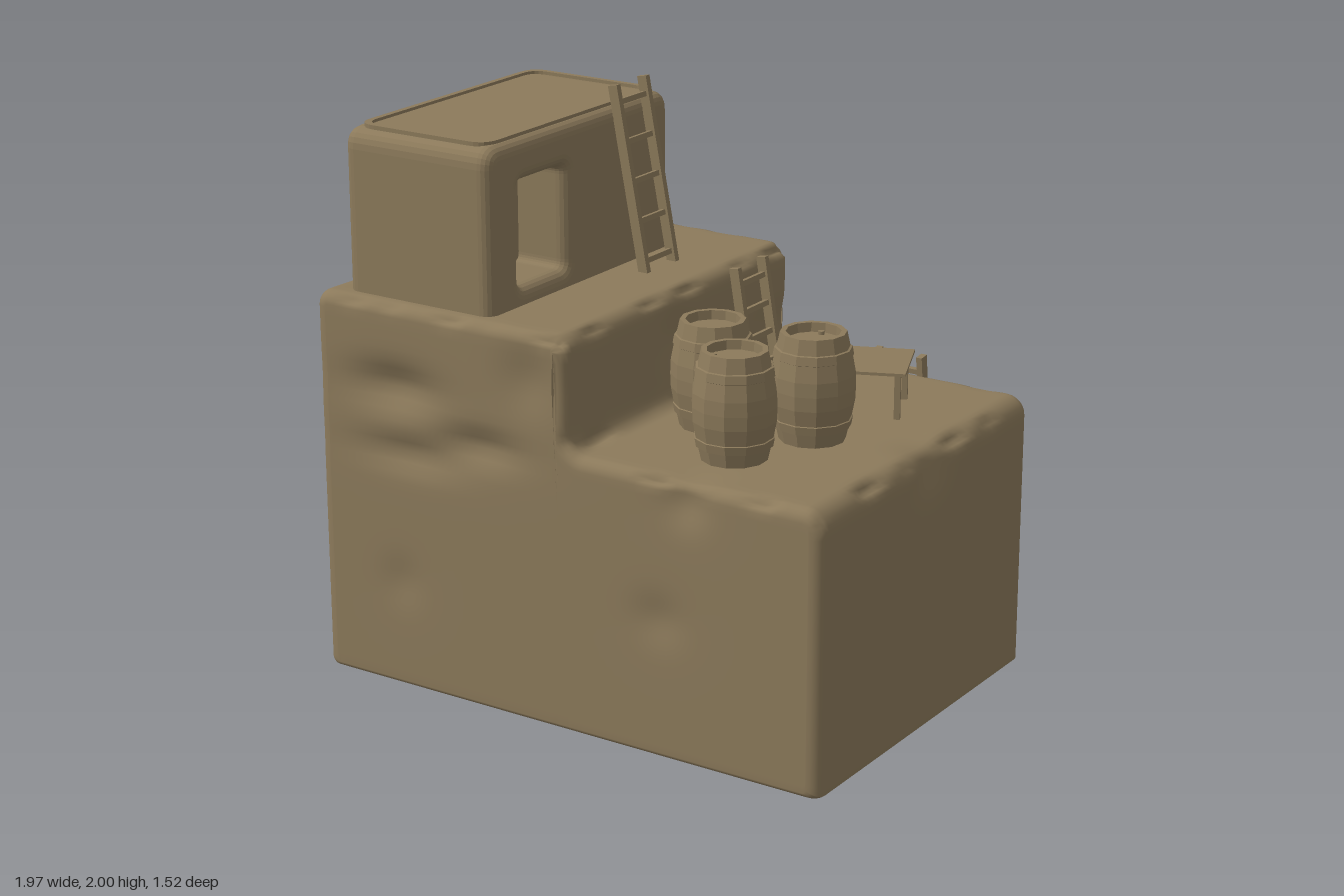
import * as THREE from 'three';
import { mergeVertices } from 'three/addons/utils/BufferGeometryUtils.js';

const clay = new THREE.MeshStandardMaterial({ color: 0x8c7a5b });
clay.name = 'clayBrown';

function add(parent, name, geometry, x = 0, y = 0, z = 0) {
  const mesh = new THREE.Mesh(geometry, clay);
  mesh.name = name;
  mesh.position.set(x, y, z);
  parent.add(mesh);
  return mesh;
}
const box = (w, h, d) => new THREE.BoxGeometry(w, h, d);

// Stepped outline of the rock, left to right, with outward normals
function stepOutline() {
  const pts = [];
  const arc = (cx, cy, r, a0, a1, sign = 1, n = 6) => {
    for (let i = 0; i <= n; i++) {
      const a = a0 + (a1 - a0) * i / n, c = Math.cos(a), s = Math.sin(a);
      pts.push({ x: cx + r * c, y: cy + r * s, nx: sign * c, ny: sign * s });
    }
  };
  const line = (x0, y0, x1, y1, nx, ny, n) => {
    for (let i = 1; i < n; i++) {
      pts.push({ x: x0 + (x1 - x0) * i / n, y: y0 + (y1 - y0) * i / n, nx, ny });
    }
  };
  const P = Math.PI, r = 0.055;
  arc(-0.985 + r, 1.37 - r, r, P, P / 2);
  line(-0.93, 1.37, -0.025, 1.37, 0, 1, 30);
  arc(0.03 - r, 1.37 - r, r, P / 2, 0);
  line(0.03, 1.315, 0.03, 1.045, 1, 0, 8);
  arc(0.09, 1.045, 0.06, P, 1.5 * P, -1);
  line(0.09, 0.985, 0.91, 0.985, 0, 1, 28);
  arc(0.91, 0.915, 0.07, P / 2, 0);
  return pts;
}

// Layers from back to front: depth and inset of the rounded edge
function depthLayers(z0, z1, b) {
  const layers = [], n = 5, mid = 36;
  const round = i => {
    const a = Math.PI / 2 * i / n;
    return [b - b * Math.sin(a), b - b * Math.cos(a)];
  };
  for (let i = n; i >= 0; i--) { const [o, d] = round(i); layers.push([z0 + o, d]); }
  for (let i = 1; i < mid; i++) layers.push([z0 + b + (z1 - z0 - 2 * b) * i / mid, 0]);
  for (let i = 0; i <= n; i++) { const [o, d] = round(i); layers.push([z1 - o, d]); }
  return layers;
}

// Hollows worn into the rock: centre, radii, depth
const dents = [
  [-0.66, 1.08, 0.75, 0.17, 0.07, 0.2, 0.045], [-0.32, 0.94, 0.75, 0.16, 0.05, 0.2, 0.035],
  [-0.6, 0.86, 0.75, 0.2, 0.05, 0.2, 0.03], [-0.12, 1.2, 0.75, 0.1, 0.1, 0.2, 0.02],
  [0.38, 0.5, 0.75, 0.09, 0.08, 0.2, 0.015], [-0.65, 0.4, 0.75, 0.08, 0.08, 0.2, 0.012],
  [0.48, 0.92, 0.75, 0.08, 0.08, 0.1, 0.025],
  [-0.3, 1.1, -0.6, 0.28, 0.06, 0.2, 0.05], [-0.4, 0.94, -0.6, 0.28, 0.05, 0.2, 0.05],
  [-0.3, 0.78, -0.6, 0.25, 0.05, 0.2, 0.035], [-0.62, 1.17, -0.6, 0.12, 0.06, 0.2, 0.03],
  [-0.98, 1.12, -0.2, 0.2, 0.07, 0.13, 0.03], [-0.98, 0.98, 0.15, 0.2, 0.08, 0.11, 0.03],
  [-0.98, 1.14, 0.35, 0.2, 0.07, 0.1, 0.025], [-0.98, 0.86, -0.15, 0.2, 0.07, 0.12, 0.025],
  [0.03, 1.2, 0.1, 0.12, 0.1, 0.1, 0.015], [0.98, 0.94, 0.05, 0.1, 0.08, 0.09, 0.03],
];

function rockGeometry() {
  const top = stepOutline(), layers = depthLayers(-0.6, 0.755, 0.045);
  const ni = top.length - 1, nj = 36, nk = layers.length - 1;
  let g = new THREE.BoxGeometry(1, 1, 1, ni, nj, nk);
  const p = g.attributes.position;
  for (let q = 0; q < p.count; q++) {
    const t = top[Math.round((p.getX(q) + 0.5) * ni)];
    const v = Math.round((p.getY(q) + 0.5) * nj) / nj;
    const [z, d] = layers[Math.round((p.getZ(q) + 0.5) * nk)];
    const edge = Math.max(0, Math.abs(t.x) - 0.945) / 0.04;
    const bx = t.x - (Math.abs(t.x) > 0.9 ? d * t.nx : 0);
    const by = 0.02 + 0.025 * (1 - Math.sqrt(Math.max(0, 1 - edge * edge))) + d * 0.5;
    p.setXYZ(q, bx + (t.x - d * t.nx - bx) * v, by + (t.y - d * t.ny - by) * v, z);
  }
  g.deleteAttribute('uv');
  g.deleteAttribute('normal');
  g = mergeVertices(g, 1e-5);
  g.computeVertexNormals();
  // Press in the hollows and chip the upper edges
  const m = g.attributes.position, nrm = g.attributes.normal;
  for (let q = 0; q < m.count; q++) {
    const x = m.getX(q), y = m.getY(q), z = m.getZ(q);
    const nx = nrm.getX(q), ny = nrm.getY(q), nz = nrm.getZ(q);
    let push = 0;
    for (const [cx, cy, cz, rx, ry, rz, depth] of dents) {
      push += depth * Math.exp(-(((x - cx) / rx) ** 2) - ((y - cy) / ry) ** 2 - ((z - cz) / rz) ** 2);
    }
    if (ny > 0.1 && y > 0.85) {
      const corner = 1 - Math.max(Math.abs(nx), ny, Math.abs(nz));
      const wave = Math.sin(x * 17 + z * 11) + Math.sin(x * 31 - z * 23 + 1);
      push += 0.06 * corner * Math.max(0, wave);
    }
    m.setXYZ(q, x - nx * push, y - ny * push, z - nz * push);
  }
  g.computeVertexNormals();
  return g;
}

function roundedRect(path, x0, y0, x1, y1, r) {
  path.moveTo(x0 + r, y0);
  path.lineTo(x1 - r, y0);
  path.quadraticCurveTo(x1, y0, x1, y0 + r);
  path.lineTo(x1, y1 - r);
  path.quadraticCurveTo(x1, y1, x1 - r, y1);
  path.lineTo(x0 + r, y1);
  path.quadraticCurveTo(x0, y1, x0, y1 - r);
  path.lineTo(x0, y0 + r);
  path.quadraticCurveTo(x0, y0, x0 + r, y0);
  return path;
}

// Hut with a recessed doorway on its left side
function makeHut() {
  const hut = new THREE.Group();
  hut.name = 'hut';
  const b = 0.045;
  const wall = roundedRect(new THREE.Shape(), -0.7, 1.28, 0.335, 1.922, 0.07);
  wall.holes.push(roundedRect(new THREE.Path(), -0.53, 1.43, -0.275, 1.78, 0.03));
  const g = new THREE.ExtrudeGeometry(wall, {
    depth: 0.59 - 2 * b, bevelEnabled: true, bevelThickness: b, bevelSize: b,
    bevelOffset: -b, bevelSegments: 5, curveSegments: 6,
  });
  g.translate(0, 0, b);
  g.rotateY(Math.PI / 2);
  add(hut, 'hutWalls', g, -0.885);
  add(hut, 'doorwayBack', box(0.39, 0.46, 0.37), -0.69, 1.605, 0.4025);
  // Low raised rim around the roof
  const rim = roundedRect(new THREE.Shape(), -0.85, -0.665, -0.33, 0.3, 0.07);
  rim.holes.push(roundedRect(new THREE.Path(), -0.83, -0.645, -0.35, 0.28, 0.06));
  const rg = new THREE.ExtrudeGeometry(rim, { depth: 0.014, bevelEnabled: false, curveSegments: 6 });
  rg.rotateX(-Math.PI / 2);
  add(hut, 'roofRim', rg, 0, 1.918, 0);
  return hut;
}

// Ladder rising from its foot and leaning toward local -x
function makeLadder(name, x, y, z, height, lean, turn, rungs) {
  const ladder = new THREE.Group(), frame = new THREE.Group();
  ladder.name = name;
  ladder.position.set(x, y, z);
  ladder.rotation.y = turn;
  frame.name = name + 'Frame';
  frame.rotation.z = Math.atan2(lean, height);
  ladder.add(frame);
  const len = Math.hypot(height, lean);
  for (const s of [-1, 1]) add(frame, 'ladderRail', box(0.036, len, 0.022), 0, len / 2, s * 0.086);
  for (let i = 0; i < rungs; i++) {
    add(frame, 'ladderRung', box(0.018, 0.018, 0.16), 0, 0.04 + (len - 0.1) * i / (rungs - 1), 0);
  }
  return ladder;
}

// Faceted barrel with two hoops, a sunken lid and a bung
function makeBarrel(x, z, turn) {
  const barrel = new THREE.Group();
  barrel.name = 'barrel';
  barrel.position.set(x, 0.98, z);
  barrel.rotation.y = turn;
  const profile = [
    [0, 0], [0.108, 0], [0.119, 0.05], [0.126, 0.052], [0.131, 0.08], [0.127, 0.082],
    [0.137, 0.135], [0.139, 0.183], [0.137, 0.23], [0.127, 0.284], [0.131, 0.286],
    [0.126, 0.314], [0.119, 0.316], [0.108, 0.366], [0.09, 0.366], [0.088, 0.335], [0, 0.335],
  ].map(([r, h]) => new THREE.Vector2(r, h));
  const g = new THREE.LatheGeometry(profile, 12).toNonIndexed();
  g.computeVertexNormals();
  add(barrel, 'barrelBody', g);
  add(barrel, 'barrelBung', new THREE.CylinderGeometry(0.011, 0.011, 0.012, 8), 0.06, 0.34, 0.03);
  return barrel;
}

function makeTable() {
  const table = new THREE.Group();
  table.name = 'table';
  table.position.set(0.512, 0.98, -0.155);
  table.rotation.y = 0.4;
  add(table, 'tableTop', box(0.446, 0.01, 0.27), 0, 0.165, 0);
  for (const sx of [-1, 1]) for (const sz of [-1, 1]) {
    add(table, 'tableLeg', box(0.02, 0.165, 0.02), sx * 0.195, 0.08, sz * 0.105);
  }
  return table;
}

export function createModel() {
  const model = new THREE.Group();
  model.name = 'cliffDwelling';
  add(model, 'steppedRock', rockGeometry());
  model.add(makeHut());
  model.add(makeLadder('roofLadder', -0.18, 1.365, -0.095, 0.632, 0.12, 0, 5));
  model.add(makeLadder('stepLadder', 0.115, 0.98, -0.3, 0.39, 0.065, 0, 4));
  model.add(makeLadder('groundLadder', 0.468, 0.004, -0.742, 1.035, 0.128, Math.PI / 2, 7));
  model.add(makeBarrel(0.255, 0.24, 0.1), makeBarrel(0.595, 0.175, 2.2), makeBarrel(0.485, 0.47, 4));
  model.add(makeTable());
  return model;
}
